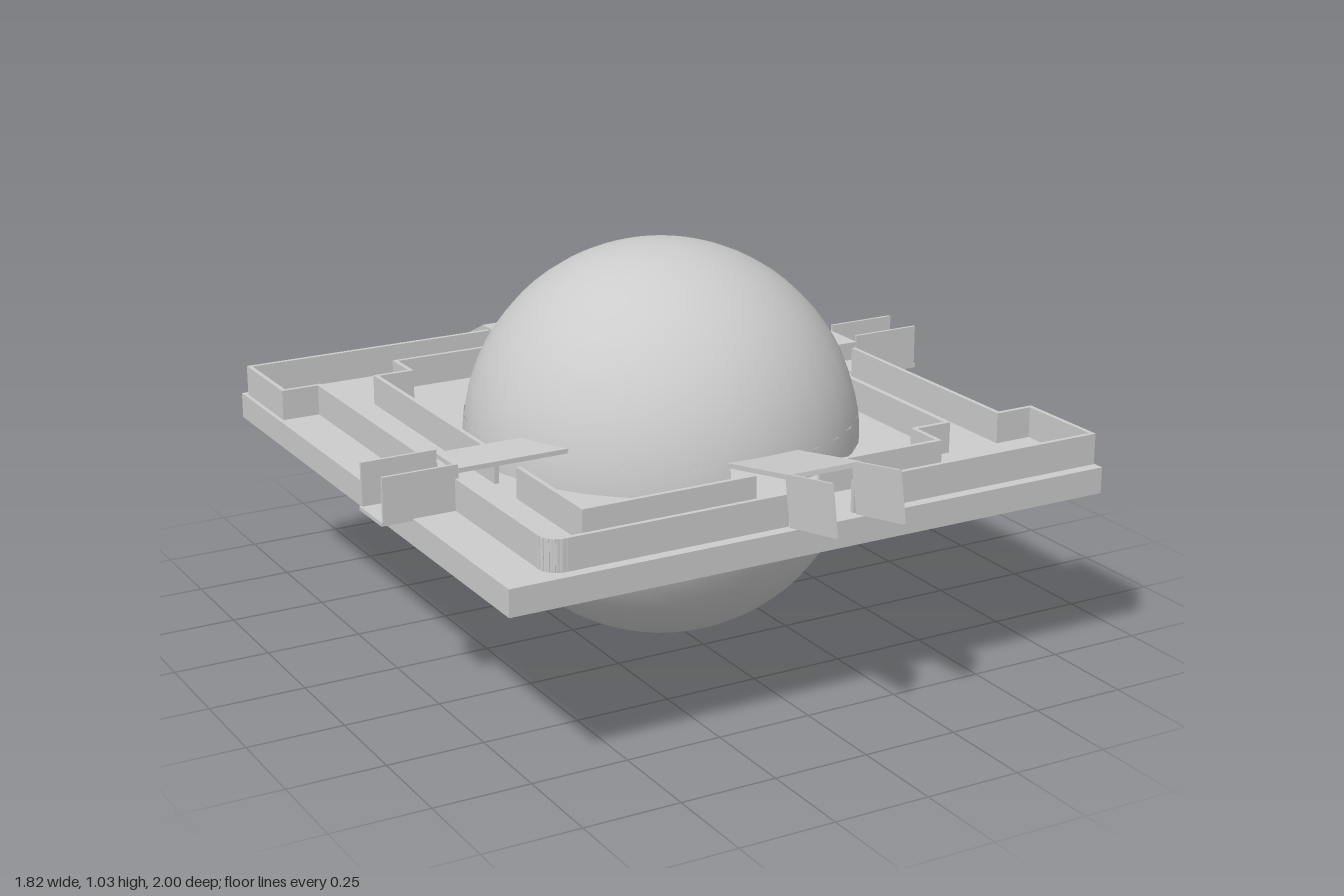
import * as THREE from 'three';

const material = new THREE.MeshStandardMaterial({ color: 0xcccccc, side: THREE.DoubleSide });
const FLOOR = 0.525, T = 0.012;

function add(parent, name, geometry, x = 0, y = 0, z = 0) {
  const mesh = new THREE.Mesh(geometry, material);
  mesh.name = name;
  mesh.position.set(x, y, z);
  parent.add(mesh);
  return mesh;
}

// Box given by its minimum and maximum corners
function block(parent, name, [x0, y0, z0], [x1, y1, z1]) {
  return add(parent, name, new THREE.BoxGeometry(x1 - x0, y1 - y0, z1 - z0),
    (x0 + x1) / 2, (y0 + y1) / 2, (z0 + z1) / 2);
}

// Thin upright wall following a plan path of [x, z] points
function wall(parent, name, points, height = 0.08) {
  const group = new THREE.Group();
  group.name = name;
  for (let i = 0; i < points.length - 1; i++) {
    const [x0, z0] = points[i], [x1, z1] = points[i + 1];
    const length = Math.hypot(x1 - x0, z1 - z0);
    const panel = add(group, 'wallPanel', new THREE.BoxGeometry(length + T * 0.9, height, T),
      (x0 + x1) / 2, FLOOR + height / 2, (z0 + z1) / 2);
    panel.rotation.y = -Math.atan2(z1 - z0, x1 - x0);
  }
  parent.add(group);
}

// Points of a rounded corner
function corner(cx, cz, r, start) {
  return Array.from({ length: 6 }, (_, i) => {
    const a = start + (i / 5) * Math.PI / 2;
    return [cx + r * Math.cos(a), cz + r * Math.sin(a)];
  });
}

// Sloped plate with its top running from (za, ya) to (zb, yb)
function slope(parent, name, width, thickness, x, [za, ya], [zb, yb]) {
  const dz = zb - za, dy = yb - ya;
  const geometry = new THREE.BoxGeometry(width, thickness, Math.hypot(dz, dy));
  geometry.translate(0, -thickness / 2, 0);
  const plate = add(parent, name, geometry, x, (ya + yb) / 2, (za + zb) / 2);
  plate.rotation.x = -Math.atan(dy / dz);
  return plate;
}

export function createModel() {
  const model = new THREE.Group();
  model.name = 'domedMaze';

  block(model, 'baseSlab', [-0.835, 0.457, -0.8], [0.805, FLOOR, 0.825]);

  // Ball: two caps and a narrow band left open at the front and back doorways
  const ball = new THREE.Group();
  ball.name = 'ball';
  ball.position.set(-0.008, 0.517, 0.04);
  const R = 0.513, doorTop = 1.424, doorBottom = 1.555, half = 0.18;
  add(ball, 'upperCap', new THREE.SphereGeometry(R, 32, 16, 0, Math.PI * 2, 0, doorTop));
  add(ball, 'lowerCap', new THREE.SphereGeometry(R, 32, 16, 0, Math.PI * 2, doorBottom, Math.PI - doorBottom));
  for (const side of [-1, 1]) {
    add(ball, 'doorwayBand', new THREE.SphereGeometry(R, 16, 2, side * Math.PI / 2 + half,
      Math.PI - 2 * half, doorTop, doorBottom - doorTop));
  }
  add(ball, 'innerColumn', new THREE.CylinderGeometry(0.05, 0.05, 0.1, 16), 0, 0.058, 0);
  model.add(ball);

  // Outer maze walls, broken at the four passages
  const outer = [
    [[0.09, 0.79], [0.797, 0.79], [0.797, 0.54], [0.695, 0.54], [0.695, -0.115]],
    [[0.695, -0.24], ...corner(0.655, -0.735, 0.04, 0).map(([x, z]) => [x, -1.47 - z]), [0.09, -0.775]],
    [[-0.1, -0.775], [-0.818, -0.775], [-0.818, -0.53], [-0.718, -0.53], [-0.718, 0.19]],
    [[-0.718, 0.32], ...corner(-0.678, 0.75, 0.04, Math.PI / 2).reverse(), [-0.1, 0.79]],
  ];
  // Inner maze walls
  const inner = [
    [[0.09, 0.645], [0.435, 0.645], [0.435, 0.54], [0.535, 0.54], [0.535, -0.115]],
    [[0.535, -0.24], [0.535, -0.63], [0.09, -0.63]],
    [[-0.1, -0.63], [-0.455, -0.63], [-0.455, -0.53], [-0.555, -0.53], [-0.555, 0.19]],
    [[-0.555, 0.32], [-0.555, 0.645], [-0.1, 0.645]],
  ];
  outer.forEach(path => wall(model, 'outerWall', path));
  inner.forEach(path => wall(model, 'innerWall', path));

  // Level side passages: roof near the ball, open trough beyond the slab
  for (const [name, s, z0, z1, start, edge, end, top] of [
    ['leftPassage', 1, -0.243, -0.115, 0.4, 0.7, 0.895, 0.623],
    ['rightPassage', -1, 0.19, 0.32, 0.4, 0.715, 0.91, 0.63],
  ]) {
    const passage = new THREE.Group();
    passage.name = name;
    const span = (part, a, b, y0, y1, za, zb) =>
      block(passage, part, [Math.min(s * a, s * b), y0, za], [Math.max(s * a, s * b), y1, zb]);
    span('roof', start, edge, top - T, top, z0, z1);
    span('troughFloor', edge, end + 0.005, 0.52, 0.53, z0, z1);
    span('troughSide', edge, end, 0.52, 0.64, z0, z0 + 0.008);
    span('troughSide', edge, end, 0.52, 0.64, z1 - 0.008, z1);
    model.add(passage);
  }

  // Front passage: rising roof and two side plates
  const front = new THREE.Group();
  front.name = 'frontPassage';
  slope(front, 'roof', 0.2, T, -0.006, [0.5, 0.597], [0.81, 0.658]);
  for (const x of [-0.1, 0.085]) slope(front, 'sidePlate', 0.008, 0.127, x, [0.79, 0.654], [0.98, 0.69]);
  model.add(front);

  // Back passage: near-level roof and a trough that slopes down
  const back = new THREE.Group();
  back.name = 'backPassage';
  slope(back, 'roof', 0.2, T, -0.006, [-0.42, 0.63], [-0.815, 0.61]);
  for (const x of [-0.102, 0.09]) slope(back, 'troughSide', 0.008, 0.117, x, [-0.81, 0.61], [-1, 0.52]);
  slope(back, 'troughFloor', 0.2, 0.008, -0.006, [-0.76, 0.53], [-0.978, 0.427]);
  model.add(back);

  return model;
}
